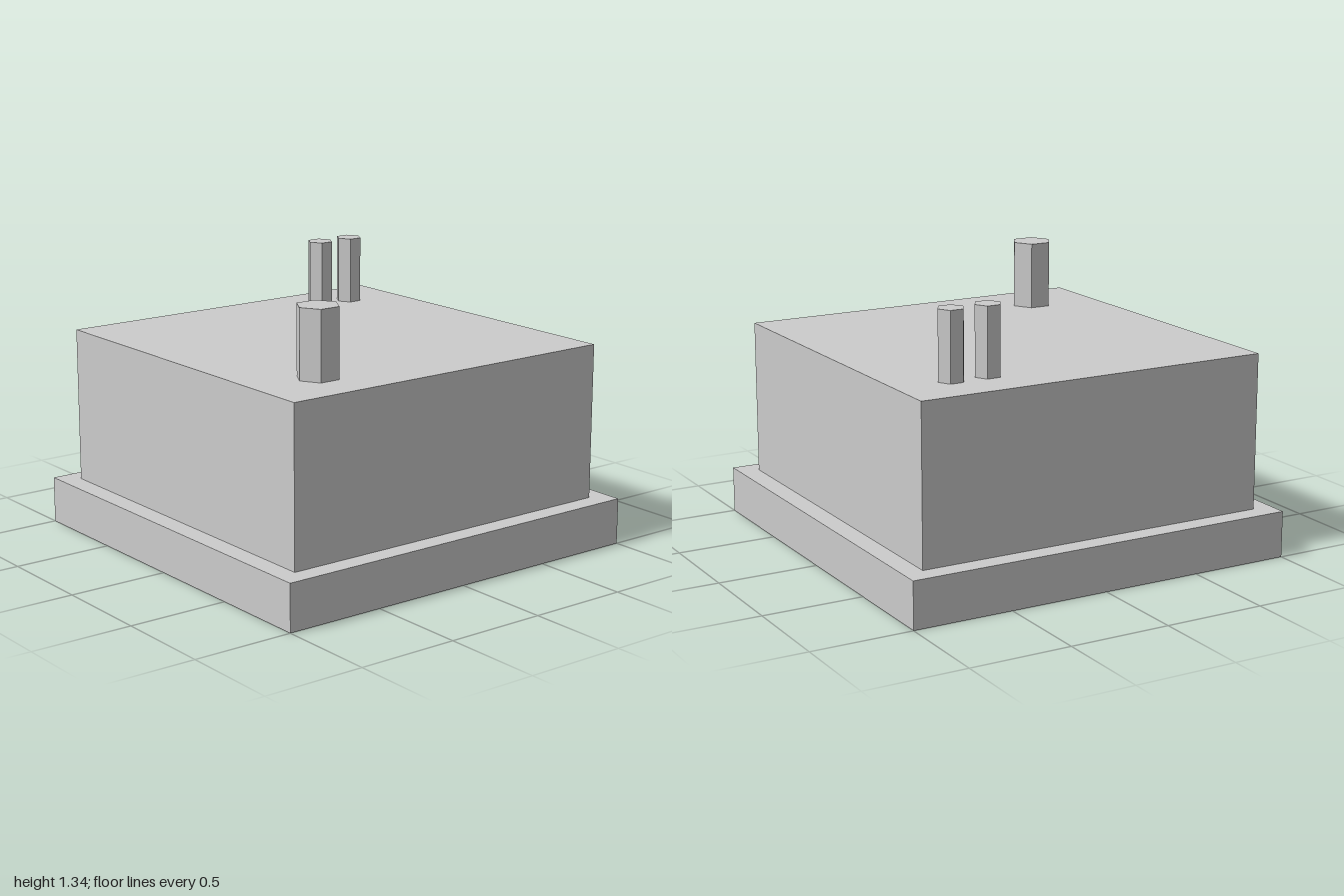
import * as THREE from 'three';

const material = new THREE.MeshStandardMaterial({ color: 0xcccccc, flatShading: true });

function addMesh(group, name, geometry, x, y, z) {
  const mesh = new THREE.Mesh(geometry, material);
  mesh.name = name;
  mesh.position.set(x, y, z);
  group.add(mesh);
}

export function createModel() {
  const group = new THREE.Group();
  group.name = 'blockBuilding';

  const baseTop = 0.23, roof = 1, stackTop = 1.335;

  // Wide plinth and the main block standing on it
  addMesh(group, 'plinth', new THREE.BoxGeometry(2, baseTop, 2), 0, baseTop / 2, 0);
  addMesh(group, 'mainBlock', new THREE.BoxGeometry(1.8, roof - baseTop, 1.8), 0, (roof + baseTop) / 2, 0);

  // Hexagonal chimneys on the roof: name, radius, x, z
  const chimneys = [
    ['largeChimney', 0.104, 0.61, 0.548],
    ['smallChimneyBack', 0.066, -0.643, -0.613],
    ['smallChimneyFront', 0.066, -0.643, -0.425],
  ];
  for (const [name, radius, x, z] of chimneys) {
    const height = stackTop - roof;
    addMesh(group, name, new THREE.CylinderGeometry(radius, radius, height, 6), x, roof + height / 2, z);
  }

  return group;
}
